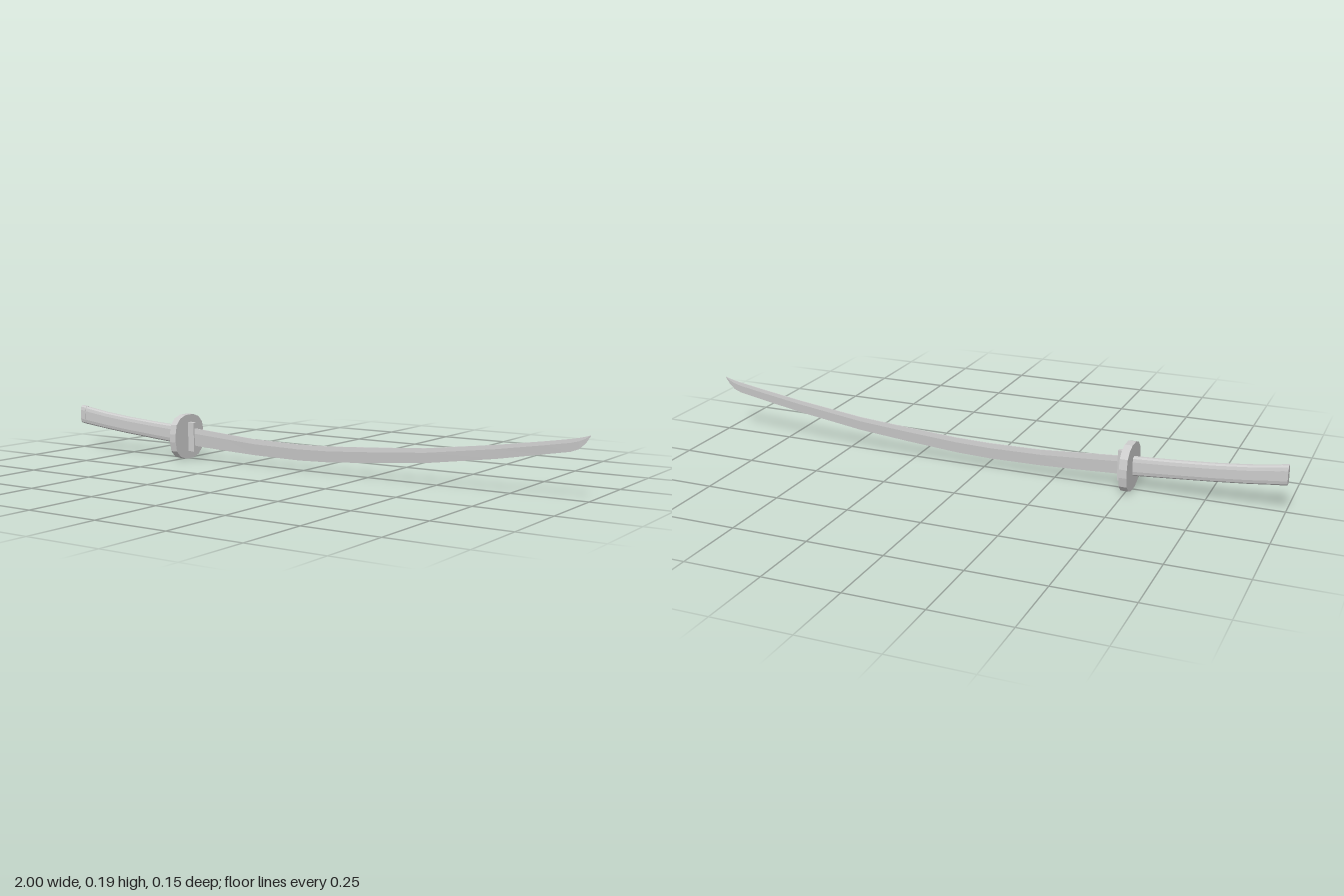
import * as THREE from 'three';

const material = new THREE.MeshStandardMaterial({ color: 0xcccccc, flatShading: true });

// Sweeps a cross-section of [z, y] pairs (-1..1, listed from the top towards +z)
// along x through stations of [x, topY, bottomY, halfDepth], with closed ends.
function loft(name, section, stations) {
  const n = section.length;
  const rings = stations.map(([x, top, bottom, half]) =>
    section.map(([z, y]) => [x, (top + bottom) / 2 + (y * (top - bottom)) / 2, z * half]));
  const pos = [];
  const tri = (a, b, c) => pos.push(...a, ...b, ...c);
  for (let s = 0; s < rings.length - 1; s++) {
    const a = rings[s], b = rings[s + 1];
    for (let i = 0; i < n; i++) {
      const j = (i + 1) % n;
      tri(a[i], a[j], b[j]);
      tri(a[i], b[j], b[i]);
    }
  }
  const first = rings[0], last = rings[rings.length - 1];
  for (let i = 1; i < n - 1; i++) {
    tri(first[0], first[i + 1], first[i]);
    tri(last[0], last[i], last[i + 1]);
  }
  const geometry = new THREE.BufferGeometry();
  geometry.setAttribute('position', new THREE.Float32BufferAttribute(pos, 3));
  geometry.computeVertexNormals();
  const mesh = new THREE.Mesh(geometry, material);
  mesh.name = name;
  return mesh;
}

// Mirrors the +z half of a section, listed from top to bottom
function mirrored(half) {
  const other = half.filter(([z]) => z > 0).reverse().map(([z, y]) => [-z, y]);
  return [...half, ...other];
}

export function createModel() {
  const group = new THREE.Group();
  group.name = 'sword';

  // Blade: narrow flat spine above, ridge on each side, sharp edge below
  const bladeSection = mirrored([[0.55, 1], [1, 0.4], [0, -1]]);
  group.add(loft('blade', bladeSection, [
    [-0.5, 0.110, 0.047, 0.004],
    [-0.33, 0.098, 0.039, 0.004],
    [-0.2, 0.089, 0.034, 0.004],
    [-0.02, 0.086, 0.032, 0.004],
    [0.1, 0.089, 0.036, 0.004],
    [0.28, 0.1, 0.05, 0.0038],
    [0.46, 0.113, 0.066, 0.0036],
    [0.7, 0.143, 0.1, 0.0032],
    [0.86, 0.167, 0.128, 0.003],
    [0.94, 0.18, 0.142, 0.0028],
    [0.965, 0.185, 0.152, 0.0024],
    [0.985, 0.19, 0.17, 0.0016],
    [1.0, 0.195, 0.193, 0.0003],
  ]));

  // Collar where the blade meets the guard
  const boxSection = mirrored([[1, 1], [1, -1]]);
  group.add(loft('bladeCollar', boxSection, [
    [-0.495, 0.129, 0.027, 0.008],
    [-0.463, 0.127, 0.025, 0.008],
  ]));

  // Rounded-square guard plate with sixteen sides
  const guardSection = mirrored([
    [0.26, 1], [0.65, 0.87], [0.91, 0.6], [1, 0.18],
    [1, -0.18], [0.91, -0.6], [0.65, -0.87], [0.26, -1],
  ]);
  group.add(loft('guard', guardSection, [
    [-0.514, 0.155, 0, 0.077],
    [-0.488, 0.155, 0, 0.077],
  ]));

  // Gently curved grip with rounded top and bottom
  const gripSection = mirrored([
    [0.4, 1], [0.8, 0.85], [1, 0.5], [1, -0.5], [0.8, -0.85], [0.4, -1],
  ]);
  group.add(loft('grip', gripSection, [
    [-0.978, 0.152, 0.088, 0.0128],
    [-0.88, 0.138, 0.077, 0.0128],
    [-0.77, 0.127, 0.067, 0.0128],
    [-0.64, 0.118, 0.057, 0.0128],
    [-0.505, 0.111, 0.047, 0.0128],
  ]));

  // End cap of the grip
  group.add(loft('pommel', gripSection, [
    [-1.0, 0.156, 0.091, 0.0135],
    [-0.976, 0.153, 0.087, 0.0135],
  ]));

  return group;
}
